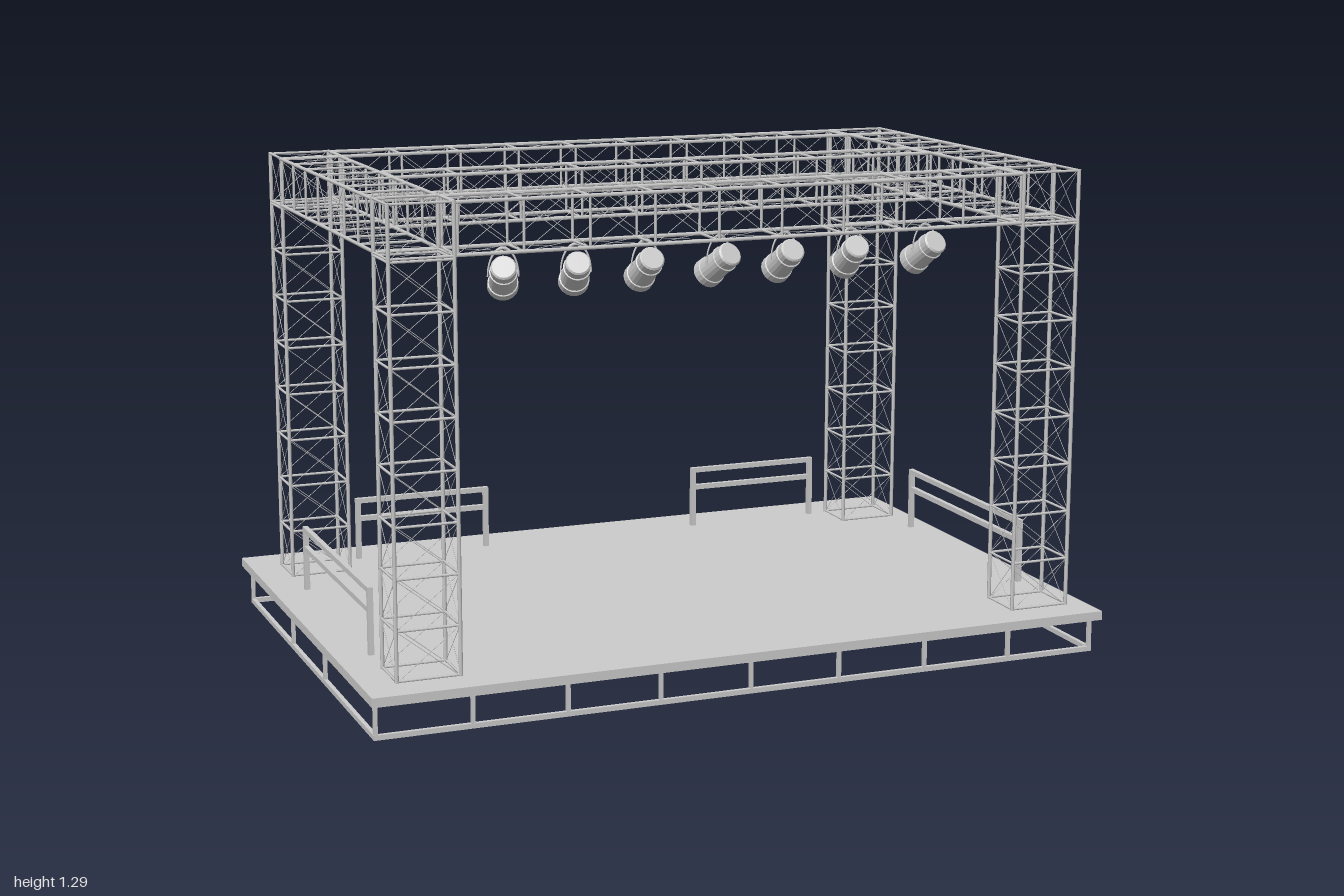
import * as THREE from 'three';
import { mergeGeometries } from 'three/addons/utils/BufferGeometryUtils.js';

const grey = new THREE.MeshStandardMaterial({ color: 0xcccccc });
const greyDouble = new THREE.MeshStandardMaterial({ color: 0xcccccc, side: THREE.DoubleSide });
const V = (x, y, z) => new THREE.Vector3(x, y, z);
const UP = V(0, 1, 0);

// Round bar between two points
function rod(a, b, r, sides = 6) {
  const d = b.clone().sub(a);
  const g = new THREE.CylinderGeometry(r, r, d.length(), sides, 1, sides < 6);
  g.applyQuaternion(new THREE.Quaternion().setFromUnitVectors(UP, d.normalize()));
  return g.translate((a.x + b.x) / 2, (a.y + b.y) / 2, (a.z + b.z) / 2);
}

// Box given by its lower and upper corners
function bar(x0, y0, z0, x1, y1, z1) {
  return new THREE.BoxGeometry(x1 - x0, y1 - y0, z1 - z0)
    .translate((x0 + x1) / 2, (y0 + y1) / 2, (z0 + z1) / 2);
}

function addMesh(group, name, parts, material = grey) {
  const mesh = new THREE.Mesh(Array.isArray(parts) ? mergeGeometries(parts) : parts, material);
  mesh.name = name;
  group.add(mesh);
  return mesh;
}

// Box truss filling lo..hi, divided into n cells along one axis, with thin cross wires
const CHORD = 0.0052, RUNG = 0.0035, WIRE = 0.0009;
function truss(group, name, lo, hi, axis, n, capped = false) {
  const [u, v] = ['x', 'y', 'z'].filter(k => k !== axis);
  const corner = (i, t) => {
    const p = V(0, 0, 0);
    p[axis] = lo[axis] + (hi[axis] - lo[axis]) * t;
    p[u] = i === 1 || i === 2 ? hi[u] - CHORD : lo[u] + CHORD;
    p[v] = i >= 2 ? hi[v] - CHORD : lo[v] + CHORD;
    return p;
  };
  const inset = RUNG / (hi[axis] - lo[axis]);
  const parts = [];
  for (let i = 0; i < 4; i++) {
    const j = (i + 1) % 4;
    parts.push(rod(corner(i, 0), corner(i, 1), CHORD));
    for (let k = 0; k <= n; k++) {
      // end rungs stay inside the truss length
      const t = THREE.MathUtils.clamp(k / n, inset, 1 - inset);
      parts.push(rod(corner(i, t), corner(j, t), RUNG));
      if (k === n) continue;
      parts.push(rod(corner(i, k / n), corner(j, (k + 1) / n), WIRE, 4));
      parts.push(rod(corner(j, k / n), corner(i, (k + 1) / n), WIRE, 4));
    }
  }
  if (capped) for (const t of [0.03, 0.97]) {
    parts.push(rod(corner(0, t), corner(2, t), WIRE, 4), rod(corner(1, t), corner(3, t), WIRE, 4));
  }
  addMesh(group, name, parts);
}

// Guard rail: two posts and two horizontal bars between points a and b on the deck
function guardRail(group, name, a, b) {
  const h = 0.007, parts = [];
  for (const p of [a, b]) parts.push(bar(p.x - h, 0.097, p.z - h, p.x + h, 0.297, p.z + h));
  for (const y of [0.29, 0.238])
    parts.push(bar(a.x - h, y - h, a.z - h, b.x + h, y + h, b.z + h));
  addMesh(group, name, parts);
}

// Stage lamp hanging from a hoop, aimed down at the stage
function stageLamp(x, swing) {
  const lamp = new THREE.Group();
  lamp.name = 'stageLamp';
  const profile = [
    [0, -0.058], [0.028, -0.058], [0.032, -0.054], [0.032, -0.03], [0.035, -0.029],
    [0.035, -0.022], [0.032, -0.021], [0.035, 0.035], [0.038, 0.036], [0.039, 0.059],
    [0.036, 0.059], [0.034, 0.045], [0, 0.045],
  ].map(p => new THREE.Vector2(...p));
  const can = addMesh(lamp, 'lampCan', new THREE.LatheGeometry(profile, 20).toNonIndexed(), greyDouble);
  can.geometry.computeVertexNormals();
  can.quaternion.setFromUnitVectors(UP, V(swing * 0.84, -0.55, -0.84).normalize());
  // hoop bracket
  const hoop = new THREE.TorusGeometry(0.038, 0.0022, 6, 20, Math.PI);
  hoop.scale(1, 1.85, 1).rotateY(Math.atan(-swing) * 0.8);
  addMesh(lamp, 'lampHoop', hoop);
  lamp.position.set(x, 1.081, 0.477);
  return lamp;
}

export function createModel() {
  const model = new THREE.Group();
  model.name = 'stage';

  // Deck
  const deckLow = 0.097, deckTop = 0.121;
  addMesh(model, 'deck', bar(-1, deckLow, -0.687, 1, deckTop, 0.687));

  // Open frame under the deck edge
  const X0 = -0.986, X1 = 0.996, Z = 0.645, t = 0.011;
  const frame = [];
  for (const y of [0, deckLow - 0.013]) {
    for (const z of [-Z, Z - t]) frame.push(bar(X0, y, z, X1, y + 0.013, z + t));
    for (const x of [X0, X1 - t]) frame.push(bar(x, y, -Z, x + t, y + 0.013, Z));
  }
  const post = (x, z) => frame.push(bar(x - 0.005, 0, z - 0.005, x + 0.005, deckLow, z + 0.005));
  for (const s of [-1, 1])
    for (let i = 0; i <= 8; i++) post(X0 + 0.0055 + i * (X1 - X0 - t) / 8, s * 0.639);
  for (const x of [X0 + 0.0055, X1 - 0.0055])
    for (const z of [0.167, -0.168]) post(x, z);
  addMesh(model, 'deckFrame', frame);

  // Towers with corner blocks on top
  const xs = [[-0.917, -0.744], [0.775, 0.947]];
  const zs = [[0.462, 0.599], [-0.569, -0.434]];
  const low = 1.153, top = 1.29;
  for (const [x0, x1] of xs) for (const [z0, z1] of zs) {
    truss(model, 'tower', V(x0, deckTop, z0), V(x1, low, z1), 'y', 8);
    truss(model, 'cornerBlock', V(x0, low, z0), V(x1, top, z1), 'y', 1, true);
  }

  // Roof beams: front, back and middle across, one along each side
  for (const [z0, z1] of [...zs, [-0.054, 0.079]])
    truss(model, 'crossBeam', V(xs[0][1], low, z0), V(xs[1][0], top, z1), 'x', 9);
  for (const [x0, x1] of xs)
    truss(model, 'sideBeam', V(x0, low, zs[1][1]), V(x1, top, zs[0][0]), 'z', 7);

  // Guard rails at the back and sides
  guardRail(model, 'backRail', V(-0.69, 0, -0.56), V(-0.31, 0, -0.56));
  guardRail(model, 'backRail', V(0.34, 0, -0.56), V(0.722, 0, -0.56));
  for (const x of [-0.907, 0.938])
    guardRail(model, 'sideRail', V(x, 0, -0.3), V(x, 0, 0.345));

  // Row of lamps under the front beam: position and sideways swing
  const lamps = [[-0.59, 0.3], [-0.402, 0.22], [-0.218, 0], [-0.02, -0.25],
    [0.16, -0.06], [0.346, 0.06], [0.558, -0.18]];
  for (const [x, swing] of lamps) model.add(stageLamp(x, swing));

  return model;
}
